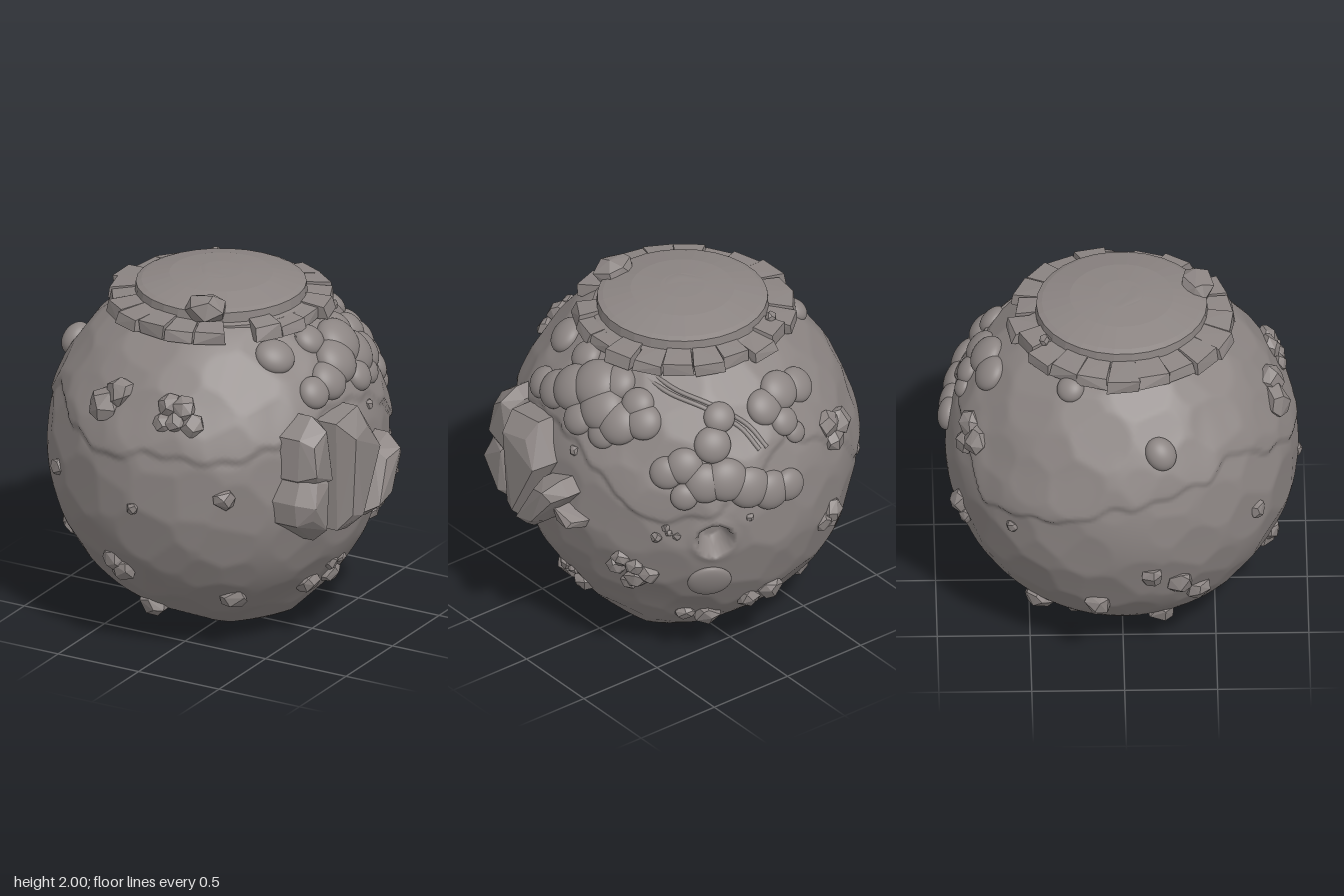
import * as THREE from 'three';
import { mergeVertices } from 'three/addons/utils/BufferGeometryUtils.js';
import { ConvexGeometry } from 'three/addons/geometries/ConvexGeometry.js';

const V = (x, y, z) => new THREE.Vector3(x, y, z);
const C = V(-0.08, 1, 0), R = V(0.905, 0.96, 0.94); // planet centre and radii

let seed = 7;
const rnd = () => (seed = (seed * 16807) % 2147483647) / 2147483647;
const jit = a => (rnd() - 0.5) * 2 * a;
const smooth = THREE.MathUtils.smoothstep;

function fibonacci(n, j = 0) {
  return Array.from({ length: n }, (_, i) => {
    const y = 1 - 2 * (i + 0.5) / n, r = Math.sqrt(1 - y * y), a = i * 2.39996;
    return V(r * Math.cos(a) + jit(j), y + jit(j), r * Math.sin(a) + jit(j)).normalize();
  });
}

// Points on the planet from two coordinates
const third = (a, b) => Math.sqrt(Math.max(0, 1 - a * a - b * b));
const front = (x, y, s = 1) => V(x, y, s * R.z * third((x - C.x) / R.x, (y - C.y) / R.y));
const back = (x, y) => front(x, y, -1);
const right = (y, z, s = 1) => V(C.x + s * R.x * third((y - C.y) / R.y, z / R.z), y, z);
const left = (y, z) => right(y, z, -1);

// Lower edge of the upper crust: [degrees around from the front, height]
const edge = [[-180, 1.42], [-170, 1.36], [-156, 1.24], [-141, 1.03], [-114, 1.08], [-90, 1.2], [-61, 1.28],
  [-48, 1.37], [-28, 1.25], [-10, 1.18], [5, 1.24], [32, 1.21], [49, 1.27], [60, 1.36], [78, 1.4],
  [96, 1.38], [109, 1.28], [119, 1.15], [130, 1.04], [150, 1.08], [165, 1.25], [180, 1.42]];
function edgeHeight(deg) {
  let i = 1;
  while (i < edge.length - 1 && edge[i][0] < deg) i++;
  const [a, b] = [edge[i - 1], edge[i]];
  return THREE.MathUtils.lerp(a[1], b[1], smooth(deg, a[0], b[0])) + 0.012 * Math.sin(deg * 0.45);
}

// Chiselled planet radius in a direction, with crust step, blunt foot and pit
const facets = fibonacci(170, 0.09).map(n => ({ n, h: 1 + jit(0.006) }));
const foot = V(0.28, -1, -0.1).normalize();
const pit = right(0.92, -0.82).sub(C).normalize();
function radius(d) {
  let k = 1.012;
  for (const f of facets) {
    const c = d.dot(f.n);
    if (c > 0.9) k = Math.min(k, f.h / c);
  }
  let r = k / Math.hypot(d.x / R.x, d.y / R.y, d.z / R.z);
  r += 0.085 * Math.exp(-((d.angleTo(foot) / 0.36) ** 2));
  const e = edgeHeight(THREE.MathUtils.radToDeg(Math.atan2(d.x, d.z)));
  const over = C.y + d.y * r - e;
  r += 0.018 * smooth(over, -0.012, 0.012) * (1 - 0.7 * smooth(over, 0.03, 0.3));
  const a = d.angleTo(pit);
  return r + 0.012 * Math.exp(-(((a - 0.12) / 0.03) ** 2)) - 0.12 * (1 - smooth(a, 0.075, 0.105));
}
const onSurface = (p, lift = 0) => {
  const d = p.clone().sub(C).normalize();
  return d.clone().multiplyScalar(radius(d) + lift).add(C);
};

export function createModel() {
  const group = new THREE.Group();
  const stone = new THREE.MeshStandardMaterial({ color: 0x8c8583 });
  stone.name = 'warm grey stone';
  const add = (name, geo) => {
    const m = new THREE.Mesh(geo, stone);
    m.name = name;
    group.add(m);
    return m;
  };
  const seat = (mesh, p, spin) => {
    const d = p.clone().sub(C).normalize();
    mesh.quaternion.setFromUnitVectors(V(0, 0, 1), d);
    mesh.rotateZ(spin);
    mesh.position.copy(onSurface(p));
  };

  // Planet body
  let ball = new THREE.IcosahedronGeometry(1, 54);
  ball.deleteAttribute('uv');
  ball.deleteAttribute('normal');
  ball = mergeVertices(ball, 1e-5);
  const pos = ball.attributes.position, d = V(0, 0, 0);
  for (let i = 0; i < pos.count; i++) {
    d.fromBufferAttribute(pos, i).normalize();
    d.multiplyScalar(radius(d)).add(C);
    pos.setXYZ(i, d.x, Math.max(0, d.y), d.z);
  }
  ball.computeVertexNormals();
  add('planetBody', ball);

  // Angular rocks and smooth swellings seated on the surface
  const rock = (p, s, long = 1, depth = 0.75) => {
    const pts = fibonacci(15, 0.25).map(v => v.multiply(V(s, s * long, s * depth)));
    seat(add('rock', new ConvexGeometry(pts)), p, jit(0.3));
  };
  const swelling = (p, s, depth = 0.65, wide = 1) => {
    const g = new THREE.IcosahedronGeometry(1, 6);
    g.scale(s * wide, s, s * depth);
    seat(add('swelling', g), p, 0);
  };

  // Rocks of the front
  [[-0.31, 1.42, 0.1], [-0.23, 1.5, 0.09], [0.08, 1.49, 0.07], [0.16, 1.48, 0.075], [0.22, 1.4, 0.07],
    [0.13, 1.41, 0.06], [0.06, 1.4, 0.055], [-0.66, 0.96, 0.055], [-0.07, 0.915, 0.038], [0.41, 1.01, 0.065],
    [-0.27, 0.53, 0.07], [-0.23, 0.47, 0.085], [-0.18, 0.2, 0.09], [0.32, 0.33, 0.08], [0.61, 0.35, 0.07],
    [0.68, 0.45, 0.035]].forEach(([x, y, s]) => rock(front(x, y), s));
  // Rocks of the back
  [[-0.5, 1.32, 0.085], [-0.4, 1.36, 0.08], [-0.43, 1.26, 0.07], [-0.4, 0.84, 0.075], [-0.34, 0.8, 0.06],
    [-0.42, 0.77, 0.06], [-0.05, 0.45, 0.08], [0.05, 0.4, 0.075], [0.2, 0.28, 0.085],
    [-0.48, 0.27, 0.09]].forEach(([x, y, s]) => rock(back(x, y), s));
  // Rocks of the right side, with the rosette and loose pebbles
  [[0.35, 0.17, 0.075], [0.45, 0.08, 0.045], [0.75, -0.43, 0.06], [0.67, -0.38, 0.06], [0.62, -0.47, 0.075],
    [0.66, -0.54, 0.065], [0.57, -0.42, 0.06], [0.71, -0.49, 0.06], [0.94, -0.62, 0.035], [1, -0.66, 0.025],
    [0.95, -0.7, 0.025], [0.97, -0.67, 0.022], [1.31, -0.13, 0.032], [1.7, 0.13, 0.028], [1.73, 0.14, 0.025],
    [1.04, -0.9, 0.025], [0.3, -0.5, 0.06]].forEach(([y, z, s]) => rock(right(y, z), s));
  // Rocks of the left side
  [[0.72, 0.15, 0.07], [0.63, 0.3, 0.08], [0.5, 0.4, 0.08], [0.95, -0.6, 0.038],
    [0.46, -0.14, 0.085]].forEach(([y, z, s]) => rock(left(y, z), s));
  rock(V(-0.6, 0.25, 0.2), 0.08);
  rock(V(-0.33, 0.15, -0.25), 0.08);
  swelling(V(-0.87, 1.49, 0.2), 0.095, 0.7, 0.85);
  swelling(V(-0.6, 1.73, -0.28), 0.075, 0.7);
  swelling(V(0.47, 1.7, 0.34), 0.1, 0.65, 1.1);

  // Lumpy ridges
  [[1.49, 0.27, 0.09], [1.52, 0.14, 0.11], [1.58, 0.02, 0.13], [1.64, -0.1, 0.14], [1.56, -0.2, 0.13],
    [1.52, -0.32, 0.12], [1.55, -0.43, 0.1], [1.71, 0.08, 0.09], [1.68, -0.2, 0.1], [1.47, -0.1, 0.09],
    [1.45, -0.26, 0.085], [1.62, -0.36, 0.09]].forEach(([y, z, s]) => swelling(right(y, z), s));
  [[0.53, 1.32, 0.09], [0.45, 1.36, 0.1], [0.38, 1.27, 0.11], [0.28, 1.28, 0.12], [0.17, 1.22, 0.12],
    [0.05, 1.17, 0.11], [-0.06, 1.17, 0.09], [0.48, 1.2, 0.075], [0.3, 1.46, 0.1], [0.22, 1.58, 0.085],
    [-0.28, 1.6, 0.1], [-0.15, 1.62, 0.11], [-0.03, 1.58, 0.1], [-0.11, 1.49, 0.08],
    [-0.16, 1.42, 0.06]].forEach(([x, y, s]) => swelling(back(x, y), s, 0.6));
  swelling(right(0.63, -0.75), 0.12, 0.3);

  // Paired crust seam climbing from the back to the summit
  for (const o of [0, 0.045]) {
    const path = [[0.04, 1.42, -0.88], [0.1, 1.55, -0.8], [0.24, 1.66, -0.66], [0.36, 1.72, -0.47], [0.4, 1.76, -0.2]]
      .map(([x, y, z]) => onSurface(V(x + o, y, z), -0.002));
    add('crustSeam', new THREE.TubeGeometry(new THREE.CatmullRomCurve3(path), 30, 0.013, 5));
  }

  // Summit plateau: a domed disc above a broken ring of slabs
  const dome = [[0.5, 1.7], [0.49, 1.84], [0.465, 1.85], [0.46, 1.905], [0.43, 1.918], [0.28, 1.955], [0.12, 1.97], [0, 1.972]];
  const cap = new THREE.LatheGeometry(dome.map(p => new THREE.Vector2(...p)), 30).toNonIndexed();
  cap.computeVertexNormals();
  cap.translate(-0.065, 0, 0);
  add('summitPlateau', cap);
  for (let i = 0; i < 22; i++) {
    const a = (i + 0.5) / 22 * Math.PI * 2, pts = [];
    if (i === 2) continue;
    const out = 0.59 + jit(0.025), top = 1.85 + jit(0.012);
    for (const s of [-1, 1]) for (const [r, y] of [[0.43, 1.75], [0.43, top + 0.012], [out, top - 0.01], [out + 0.01, 1.775]]) {
      const b = a + s * 0.138 + jit(0.012), q = r + jit(0.012);
      pts.push(V(-0.075 + q * Math.sin(b), y + jit(0.006), q * Math.cos(b)));
    }
    add('rimSlab', new ConvexGeometry(pts));
  }
  const boulder = (name, x, y, z, s, h) => {
    const pts = fibonacci(16, 0.2).map(v => v.multiply(V(s, h, s * 0.8)));
    add(name, new ConvexGeometry(pts)).position.set(x, y, z);
  };
  boulder('summitBoulder', 0.08, 1.915, 0.41, 0.13, 0.085);
  boulder('summitPebble', -0.34, 1.87, -0.42, 0.035, 0.035);

  // Crystal slabs on the right side: outlines in z and y, tapering outward
  const slab = (outline, reach, taper) => {
    const n = outline.length, cz = outline.reduce((t, p) => t + p[0], 0) / n, cy = outline.reduce((t, p) => t + p[1], 0) / n;
    const pts = [];
    outline.forEach(([z, y], i) => {
      pts.push(V(0.5, y, z), V(reach - 0.1, y, z));
      pts.push(V(reach - (i % 2) * 0.025, cy + (y - cy) * taper, cz + (z - cz) * taper));
    });
    add('crystalSlab', new ConvexGeometry(pts));
  };
  slab([[0.62, 0.98], [0.52, 1.19], [0.38, 1.14], [0.35, 0.72], [0.42, 0.71], [0.6, 0.85]], 0.85, 0.6);
  slab([[0.57, 1.1], [0.55, 1.33], [0.42, 1.43], [0.35, 1.38], [0.33, 1], [0.5, 1]], 0.84, 0.7);
  slab([[0.33, 1.37], [0.1, 1.4], [-0.03, 1.2], [0.1, 0.95], [0.22, 0.73], [0.32, 0.75]], 0.94, 0.72);
  slab([[0.17, 0.8], [0.08, 0.77], [-0.02, 0.85], [-0.22, 1.1], [-0.15, 1.17], [0, 1.12]], 0.985, 0.7);
  slab([[-0.08, 1.03], [-0.28, 0.95], [-0.26, 0.9], [-0.08, 0.88]], 0.91, 0.65);
  return group;
}
